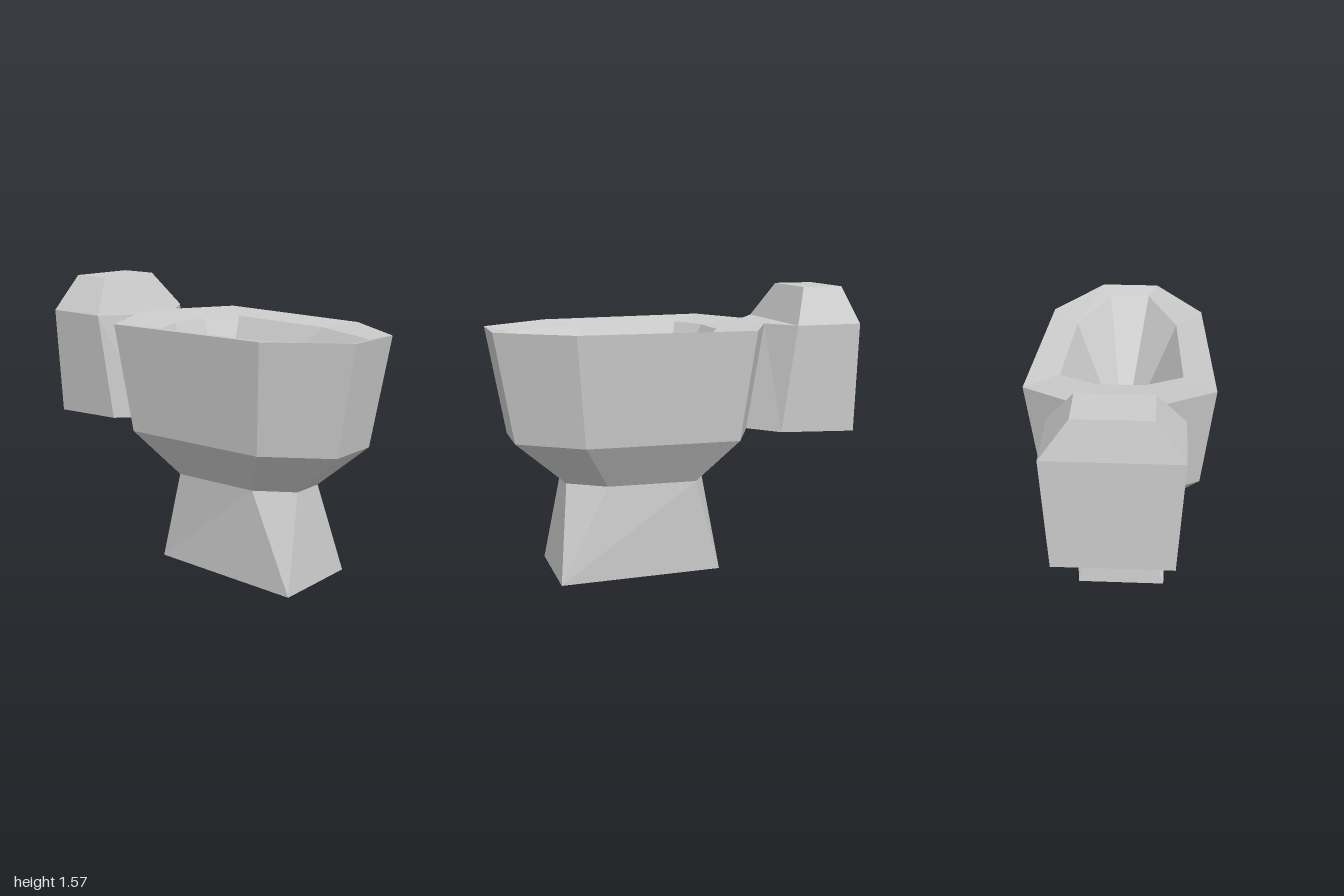
import * as THREE from 'three';

const material = new THREE.MeshStandardMaterial({ color: 0xcccccc, flatShading: true });

// Full ring at height y from the +x half outline [x, z], listed front to back.
// Height may be a function of z for tilted rings.
function ring(y, half) {
  const at = typeof y === 'function' ? y : () => y;
  const left = half.map(([x, z]) => [x, at(z), z]);
  const right = left.map(([x, h, z]) => [-x, h, z]).reverse();
  return [...left, ...right];
}

// A ring shrunk to a single point, used to close a loft
const point = (y, z, n) => Array.from({ length: n }, () => [0, y, z]);

// Skin a sequence of rings with flat facets
function loft(name, rings) {
  const positions = [];
  const same = (p, q) => p.every((v, i) => v === q[i]);
  const tri = (a, b, c) => {
    if (!same(a, b) && !same(b, c) && !same(a, c)) positions.push(...a, ...b, ...c);
  };
  for (let r = 0; r < rings.length - 1; r++) {
    const lower = rings[r], upper = rings[r + 1], n = lower.length;
    for (let i = 0; i < n; i++) {
      const j = (i + 1) % n;
      tri(lower[i], lower[j], upper[j]);
      tri(lower[i], upper[j], upper[i]);
    }
  }
  const geometry = new THREE.BufferGeometry();
  geometry.setAttribute('position', new THREE.Float32BufferAttribute(positions, 3));
  geometry.computeVertexNormals();
  const mesh = new THREE.Mesh(geometry, material);
  mesh.name = name;
  return mesh;
}

export function createModel() {
  const group = new THREE.Group();
  group.name = 'toilet';

  const waist = ring(0.525, [[0.09, 0.62], [0.225, 0.42], [0.26, -0.07], [0.09, -0.16]]);
  const rim = ring(1.37, [[0.165, 1], [0.43, 0.62], [0.495, -0.325], [0.165, -0.5]]);

  // Pedestal: rectangular foot blending into the eight-sided waist
  group.add(loft('pedestal', [
    point(0, 0.24, 8),
    ring(0, [[0.25, 0.69], [0.25, 0.69], [0.25, -0.215], [0.25, -0.215]]),
    waist,
  ]));

  // Bowl: outer wall, sloping rim and pointed basin
  group.add(loft('bowl', [
    waist,
    ring(0.775, [[0.145, 0.9], [0.375, 0.57], [0.43, -0.26], [0.145, -0.41]]),
    rim,
    ring(1.345, [[0.115, 0.895], [0.285, 0.49], [0.325, -0.135], [0.125, -0.23]]),
    point(0.83, 0.03, 8),
  ]));

  // Neck: flared link from the back of the bowl to the tank
  const section = (xTop, zTop, xLow, zLow) => [
    [-xTop, 1.37, zTop], [xTop, 1.37, zTop], [xLow, 0.777, zLow], [-xLow, 0.777, zLow],
  ];
  group.add(loft('neck', [
    section(0.165, -0.5, 0.145, -0.41),
    section(0.34, -0.625, 0.305, -0.555),
  ]));

  // Tank: tapered body with a bevelled lid
  const tankBase = (z) => 0.777 + (z + 0.555) * 0.045;
  group.add(loft('tank', [
    point(0.767, -0.78, 4),
    ring(tankBase, [[0.305, -0.555], [0.305, -1]]),
    ring(1.37, [[0.34, -0.625], [0.34, -1]]),
    ring(1.567, [[0.193, -0.72], [0.193, -0.953]]),
    point(1.567, -0.837, 4),
  ]));

  return group;
}
